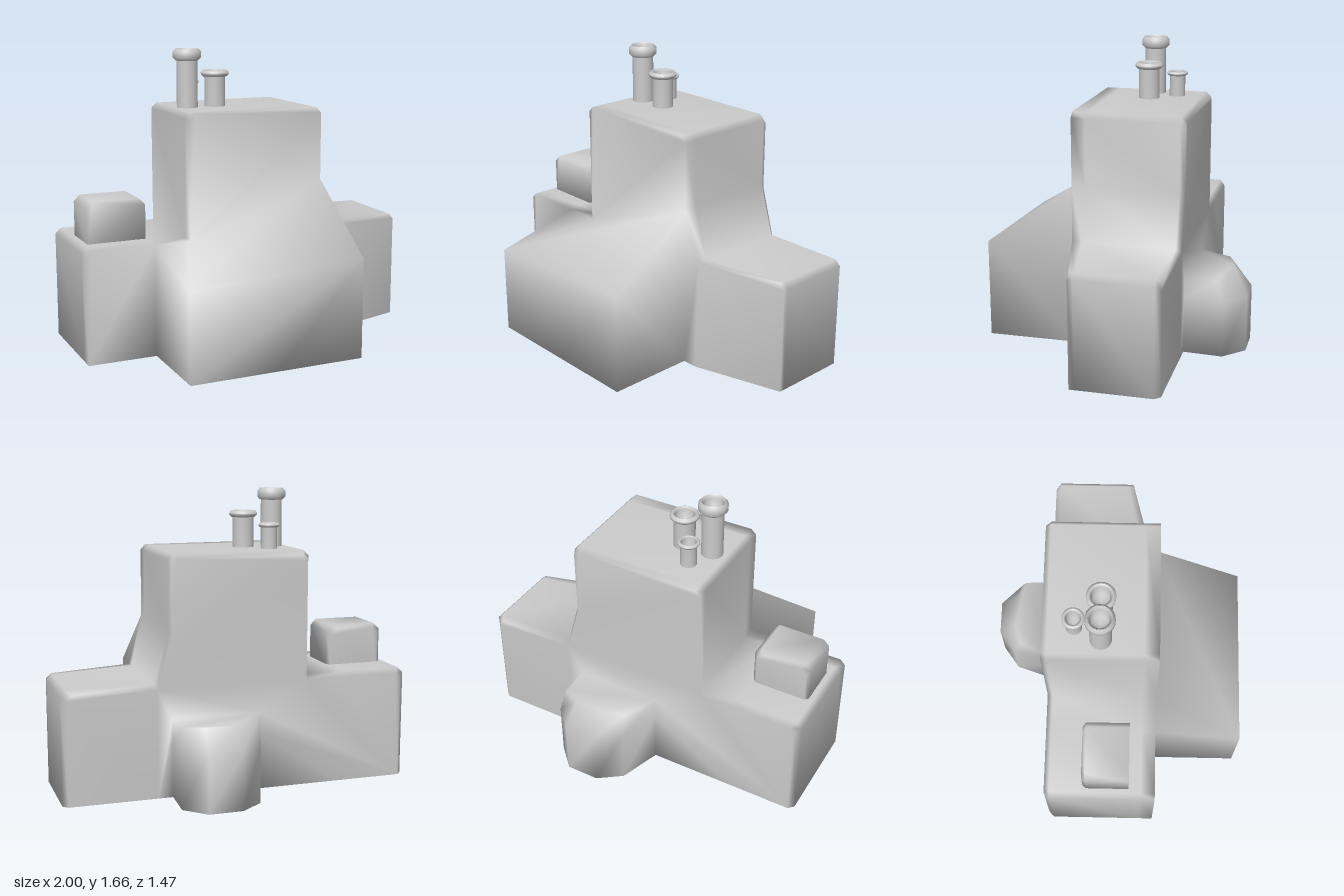
import * as THREE from 'three';
import { mergeVertices } from 'three/addons/utils/BufferGeometryUtils.js';

const material = new THREE.MeshStandardMaterial({ color: 0xcccccc });
const BACK = -0.4, FRONT = 0.235;
const fromFront = p => [p[0], p[1]];
const fromAbove = p => [p[0], -p[2]];

function add(group, name, geometry) {
  const mesh = new THREE.Mesh(geometry, material);
  mesh.name = name;
  group.add(mesh);
  return mesh;
}

// Collects bridged rings and caps into one smooth surface
function surface() {
  const pos = [];
  const tri = (a, b, c) => pos.push(...a, ...b, ...c);
  return {
    // Rings run counter-clockwise seen from the side of ring a
    bridge(a, b, start = 0) {
      for (let i = start; i < a.length; i++) {
        const j = (i + 1) % a.length;
        if (a[i] !== a[j]) tri(a[i], b[i], a[j]);
        tri(b[i], b[j], a[j]);
      }
    },
    cap(points, project, flip = false) {
      const contour = points.map(p => new THREE.Vector2(...project(p)));
      for (const [a, b, c] of THREE.ShapeUtils.triangulateShape(contour, [])) {
        tri(points[a], points[flip ? c : b], points[flip ? b : c]);
      }
    },
    geometry() {
      const g = new THREE.BufferGeometry();
      g.setAttribute('position', new THREE.Float32BufferAttribute(pos, 3));
      const merged = mergeVertices(g);
      merged.computeVertexNormals();
      return merged;
    },
  };
}

function buildBody() {
  const s = surface();

  // Outline of the tower, both wings and the flare between tower and slanted wing
  const outline = [
    [-1, 0], [-0.61, 0], [-0.11, 0], [0.405, 0], [0.49, 0], [1, 0],
    [1, 0.605], [0.97, 0.635], [0.49, 0.635], [0.405, 0.92],
    [0.405, 1.305], [0.375, 1.335], [-0.37, 1.335], [-0.4, 1.305],
    [-0.4, 0.635], [-0.61, 0.635], [-0.97, 0.635], [-1, 0.605],
  ];
  // The slanted wing's outer end stands further back
  const front = outline.map(([x, y]) => [x, y, x > 0.9 ? 0.085 : x > 0.45 && y > 0 ? 0.21 : FRONT]);
  const nearFront = outline.map(([x, y]) => [x, y, x > 0.9 ? 0.055 : 0.155]);
  const nearBack = outline.map(([x, y]) => [x, y, BACK + 0.03]);
  const back = outline.map(([x, y]) => [x * 0.97, y && y - 0.025, BACK]);
  s.bridge(front, nearFront);
  s.bridge(nearFront, nearBack);
  s.bridge(nearBack, back);

  // Front walls of wing, tower and slanted wing
  const pick = ids => ids.map(i => front[i]);
  s.cap(pick([0, 1, 15, 16, 17]), fromFront);
  s.cap(pick([14, 9, 10, 11, 12, 13]), fromFront);
  s.cap(pick([3, 4, 5, 6, 7, 8, 9]), fromFront);

  // Front extension with a twisted sloping roof
  const z = 0.735, corner = [-0.61, 0.51, z];
  const extension = [[-0.61, 0, z], [-0.11, 0, z], [0.405, 0, z], [0.405, 0.565, z], corner, corner];
  s.bridge(extension, pick([1, 2, 3, 9, 14, 15]));
  s.cap(extension.slice(0, 5), fromFront);

  // Faceted bay growing out of the back wall
  const left = back[2][0], right = back[3][0];
  const level = (pts, y) => [[left, BACK], [right, BACK], ...pts].map(([x, d]) => [x, y, d]);
  const wall = [[0.405, -0.62], [0.29, -0.735], [0.1, -0.735], [-0.03, -0.64]];
  const top = level([[0.385, -0.58], [0.28, -0.63], [0.11, -0.63], [-0.02, -0.59]], 0.44);
  const eaves = level(wall, 0.32), foot = level(wall, 0);
  s.bridge(top, eaves, 1);
  s.bridge(eaves, foot, 1);
  s.cap(top, fromAbove);
  s.cap(foot, fromAbove, true);

  // Back wall around the bay
  s.cap([...back.slice(0, 3), eaves[0], top[0], top[1], eaves[1], ...back.slice(3)], fromFront, true);
  return s.geometry();
}

// Small block on the lower wing, chamfered except at the front
function buildRoofBox() {
  const s = surface();
  const ring = (inset, z) => {
    const l = -0.945 + inset, r = -0.61 - inset, t = 0.865 - inset, c = 0.035;
    return [[l, 0.6], [r, 0.6], [r, t - c], [r - c, t], [l + c, t], [l, t - c]].map(([x, y]) => [x, y, z]);
  };
  const rings = [ring(0, 0.085), ring(0, -0.16), ring(0.02, -0.18)];
  s.bridge(rings[0], rings[1]);
  s.bridge(rings[1], rings[2]);
  s.cap(rings[0], fromFront);
  s.cap(rings[2], fromFront, true);
  return s.geometry();
}

// Hollow pipe with a rounded collar
function chimney(r, capR, capY, top) {
  const e = Math.min(0.016, (top - capY) * 0.35), hole = r * 0.85;
  const profile = [
    [r, 1.32], [r, capY], [capR - e, capY], [capR, capY + e], [capR, top - e],
    [capR - e, top], [hole + e, top], [hole, top - e], [hole * 0.9, top - 0.1], [0, top - 0.1],
  ].map(([x, y]) => new THREE.Vector2(x, y));
  return new THREE.LatheGeometry(profile, 24);
}

export function createModel() {
  const model = new THREE.Group();
  model.name = 'building';
  add(model, 'body', buildBody());
  add(model, 'roofBox', buildRoofBox());

  // Chimneys: x, z, pipe radius, collar radius, collar bottom, top
  [
    [-0.288, -0.08, 0.06, 0.08, 1.6, 1.665],
    [-0.118, -0.08, 0.06, 0.08, 1.505, 1.54],
    [-0.222, -0.225, 0.045, 0.06, 1.455, 1.478],
  ].forEach(([x, z, r, capR, capY, top], i) => {
    add(model, `chimney${i + 1}`, chimney(r, capR, capY, top)).position.set(x, 0, z);
  });
  return model;
}
